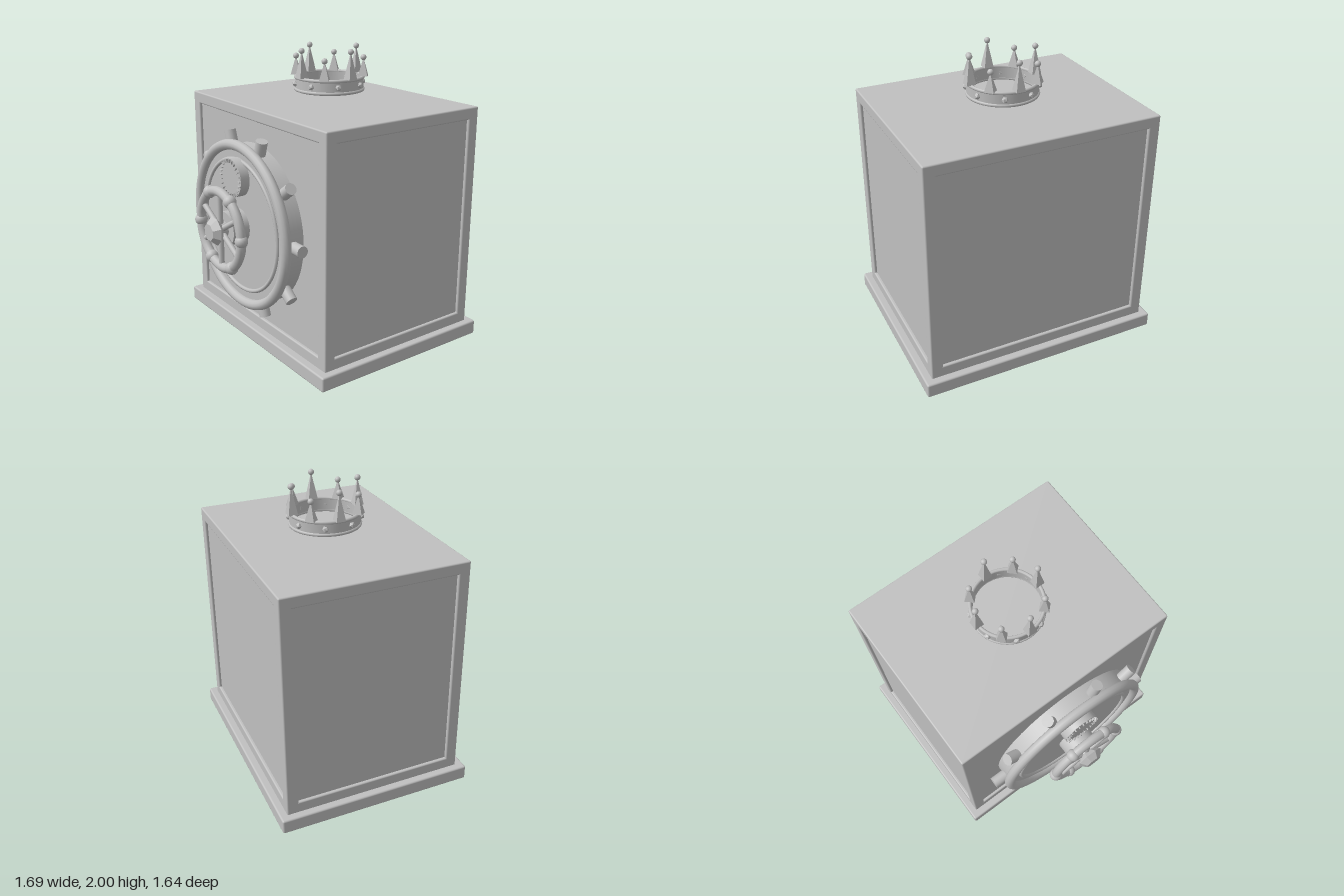
import * as THREE from 'three';
import { RoundedBoxGeometry } from 'three/addons/geometries/RoundedBoxGeometry.js';

const grey = new THREE.MeshStandardMaterial({ color: 0xc0c0c0 });
grey.name = 'plain grey';

function add(parent, name, geometry, x = 0, y = 0, z = 0) {
  const mesh = new THREE.Mesh(geometry, grey);
  mesh.name = name;
  mesh.position.set(x, y, z);
  parent.add(mesh);
  return mesh;
}

function group(parent, name, x, y, z) {
  const g = new THREE.Group();
  g.name = name;
  g.position.set(x, y, z);
  parent.add(g);
  return g;
}

// Gives every face its own normal
function faceted(geometry) {
  const g = geometry.index ? geometry.toNonIndexed() : geometry;
  g.computeVertexNormals();
  return g;
}

// Cylinder lying along z between two depths
function disc(radius, z0, z1, sides = 48) {
  return new THREE.CylinderGeometry(radius, radius, z1 - z0, sides)
    .rotateX(Math.PI / 2).translate(0, 0, (z0 + z1) / 2);
}

const rounded = (w, h, d, r = 0.01) => new RoundedBoxGeometry(w, h, d, 2, r);

function buildCabinet(root) {
  const cabinet = group(root, 'cabinet', 0, 0, -0.15);
  add(cabinet, 'plinth', rounded(1.69, 0.1, 1.345, 0.012), 0, 0.05, 0.0025);
  add(cabinet, 'recessedPanels', new THREE.BoxGeometry(1.55, 1.46, 1.2), 0, 0.87, 0);
  add(cabinet, 'topSlab', rounded(1.59, 0.08, 1.24), 0, 1.6, 0);
  add(cabinet, 'bottomSlab', rounded(1.59, 0.085, 1.24), 0, 0.1325, 0);
  for (const sx of [-1, 1]) {
    for (const sz of [-1, 1]) {
      add(cabinet, 'cornerPost', rounded(0.08, 1.52, 0.08), sx * 0.755, 0.87, sz * 0.58);
    }
  }
}

function buildDoor(root) {
  const door = group(root, 'door', 0, 0.87, 0);
  add(door, 'doorPlate', disc(0.54, 0.44, 0.58, 64));
  add(door, 'outerRim', new THREE.TorusGeometry(0.543, 0.035, 12, 72), 0, 0, 0.585);
  add(door, 'innerRim', new THREE.TorusGeometry(0.448, 0.014, 8, 72), 0, 0, 0.583);

  // Locking bolts around the edge
  for (let i = 0; i < 10; i++) {
    const a = i * Math.PI / 5;
    const bolt = add(door, 'lockingBolt', new THREE.CylinderGeometry(0.039, 0.039, 0.16, 20),
      Math.cos(a) * 0.555, Math.sin(a) * 0.555, 0.525);
    bolt.rotation.z = a - Math.PI / 2;
  }

  // Combination dial with raised tick marks
  const dial = group(door, 'dial', 0, 0.337, 0);
  add(dial, 'dialPlate', disc(0.128, 0.57, 0.645));
  for (let i = 0; i < 24; i++) {
    const a = i * Math.PI / 12;
    const tick = add(dial, 'dialTick', new THREE.BoxGeometry(0.022, 0.006, 0.02),
      Math.cos(a) * 0.115, Math.sin(a) * 0.115, 0.648);
    tick.rotation.z = a;
  }
}

function buildWheel(root) {
  const wheel = group(root, 'handWheel', 0, 0.87, 0.732);
  add(wheel, 'axle', disc(0.115, -0.16, -0.032, 32));
  add(wheel, 'hubCore', disc(0.05, -0.04, 0.03, 24));
  add(wheel, 'wheelRing', new THREE.TorusGeometry(0.26, 0.032, 12, 48));
  for (let i = 0; i < 6; i++) {
    const a = i * Math.PI / 3;
    add(wheel, 'wheelKnob', new THREE.SphereGeometry(0.043, 16, 12),
      Math.cos(a) * 0.262, Math.sin(a) * 0.262, 0);
    const b = a + Math.PI / 6;
    const spoke = add(wheel, 'spoke', new THREE.CylinderGeometry(0.019, 0.019, 0.26, 12),
      Math.cos(b) * 0.13, Math.sin(b) * 0.13, 0);
    spoke.rotation.z = b - Math.PI / 2;
  }
  // Cut gem in the middle
  const profile = [[0, 0.01], [0.06, 0.01], [0.098, 0.045], [0.058, 0.088], [0, 0.088]]
    .map(([r, h]) => new THREE.Vector2(r, h));
  add(wheel, 'hubGem', faceted(new THREE.LatheGeometry(profile, 8).rotateX(Math.PI / 2)))
    .rotation.z = Math.PI / 8;
}

function buildCrown(root) {
  const crown = group(root, 'crown', 0, 1.7, -0.15);
  // Open band with thickness, wound so both walls face outwards
  const wall = [[0.22, 0.008], [0.234, 0.008], [0.234, 0.092], [0.22, 0.092], [0.22, 0.008]]
    .map(([r, h]) => new THREE.Vector2(r, h));
  for (let i = 0; i < 4; i++) {
    add(crown, 'crownBand', new THREE.LatheGeometry([wall[i], wall[i + 1]], 48));
  }
  for (const y of [0.01, 0.092]) {
    add(crown, 'crownRim', new THREE.TorusGeometry(0.23, 0.012, 8, 48).rotateX(Math.PI / 2), 0, y, 0);
  }
  // Tall and short spikes alternate, with a gem between each pair
  for (let i = 0; i < 8; i++) {
    const arm = group(crown, 'crownSegment', 0, 0, 0);
    arm.rotation.y = i * Math.PI / 4;
    const height = i % 2 ? 0.125 : 0.18;
    add(arm, 'spike', faceted(new THREE.ConeGeometry(0.045, height, 4).rotateY(Math.PI / 4)),
      0, 0.1 + height / 2, 0.23);
    add(arm, 'spikeBall', new THREE.SphereGeometry(0.02, 14, 10), 0, 0.1 + height, 0.23);
    const a = Math.PI / 8;
    add(arm, 'bandGem', faceted(new THREE.IcosahedronGeometry(0.022, 0)),
      Math.sin(a) * 0.236, 0.05, Math.cos(a) * 0.236);
  }
}

export function createModel() {
  const root = new THREE.Group();
  root.name = 'crownedSafe';
  buildCabinet(root);
  buildDoor(root);
  buildWheel(root);
  buildCrown(root);
  return root;
}
